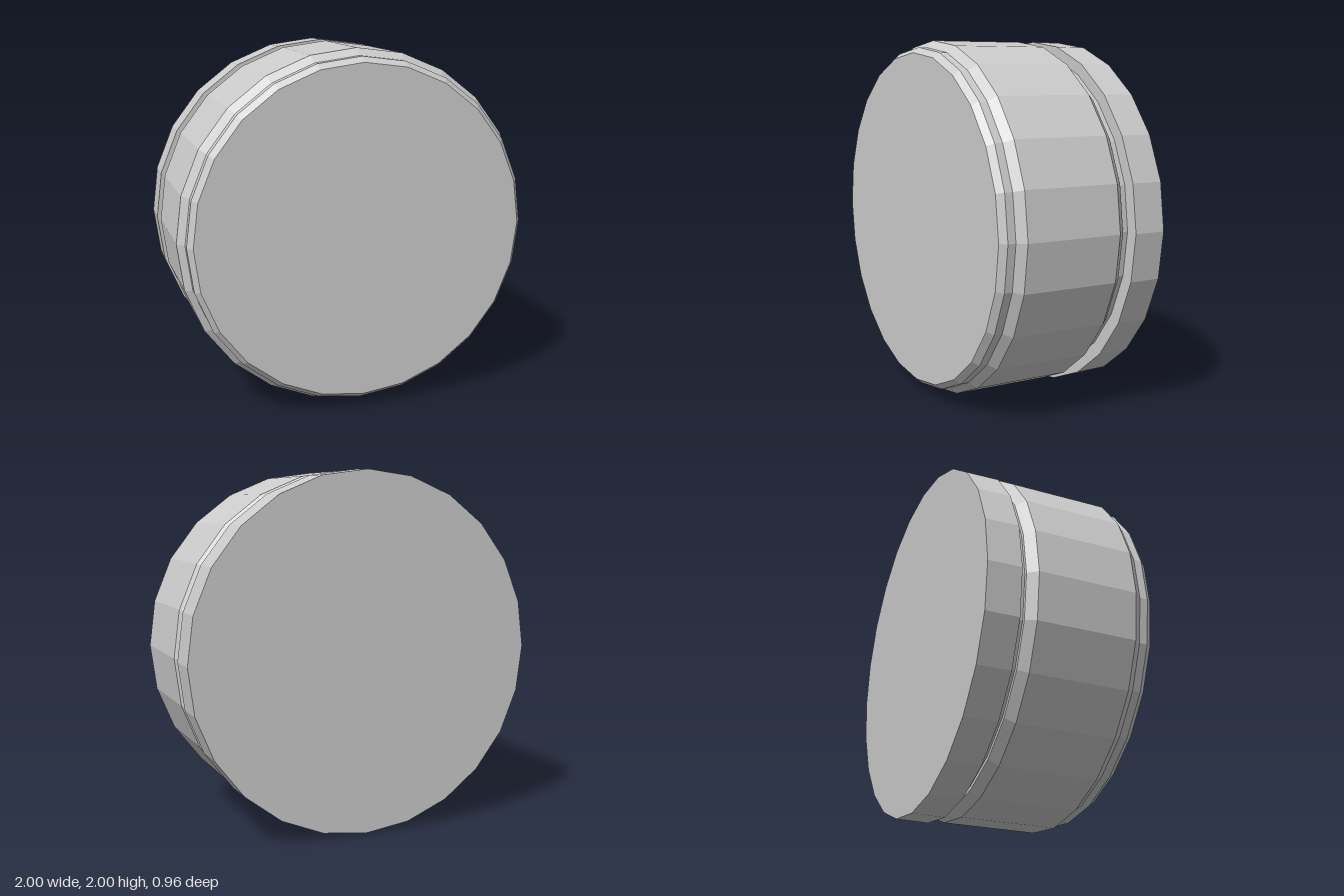
import * as THREE from 'three';

const SIDES = 24;

// Faceted solid of revolution about the z axis; profile is [radius, z] from back to front.
function turned(name, profile, y) {
  const points = profile.map(([r, z]) => new THREE.Vector2(r, z));
  const geometry = new THREE.LatheGeometry(points, SIDES);
  geometry.rotateX(Math.PI / 2);
  const material = new THREE.MeshStandardMaterial({ color: 0xcccccc, flatShading: true });
  const mesh = new THREE.Mesh(geometry, material);
  mesh.name = name;
  mesh.position.y = y;
  return mesh;
}

export function createModel() {
  const group = new THREE.Group();
  group.name = 'roundCap';

  // Wide flat rim at the back
  group.add(turned('backRim', [
    [0, -0.48], [0.997, -0.48], [1, -0.295], [0, -0.295],
  ], 1));

  // Main drum: narrow neck, chamfered body, stepped front lip
  group.add(turned('drum', [
    [0.93, -0.295], [0.93, -0.25], [0.95, -0.25], [0.993, -0.2],
    [0.993, 0.355], [0.955, 0.4], [0.955, 0.445], [0.926, 0.48], [0, 0.48],
  ], 1.005));

  return group;
}
